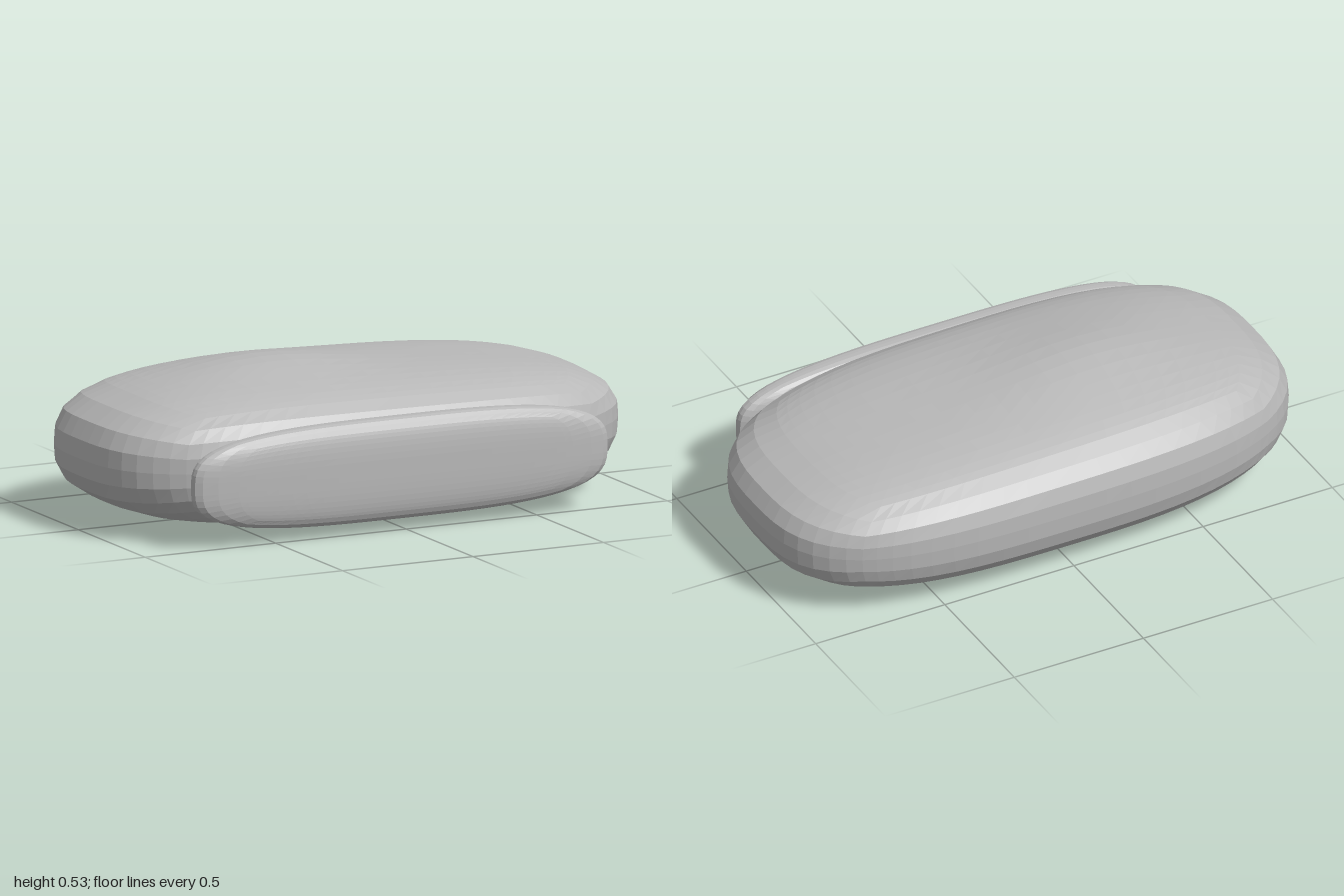
import * as THREE from 'three';

const grey = new THREE.MeshStandardMaterial({ color: 0xb8b8b8, flatShading: true });
grey.name = 'grey';

// Rounded block: a unit cube grid pulled onto a superellipsoid, then shaped by a rule
function softBlock(name, segments, power, shape) {
  const box = new THREE.BoxGeometry(2, 2, 2, ...segments);
  const pos = box.attributes.position;
  const v = new THREE.Vector3();
  for (let i = 0; i < pos.count; i++) {
    v.fromBufferAttribute(pos, i);
    const norm = (Math.abs(v.x) ** power + Math.abs(v.y) ** power + Math.abs(v.z) ** power) ** (1 / power);
    shape(v.divideScalar(norm));
    pos.setXYZ(i, v.x, v.y, v.z);
  }
  const geometry = box.toNonIndexed();
  geometry.computeVertexNormals();
  const mesh = new THREE.Mesh(geometry, grey);
  mesh.name = name;
  return mesh;
}

export function createModel() {
  const group = new THREE.Group();
  group.name = 'cushion';

  // Main body: flat pillow, higher on its right with a soft off-centre crown
  group.add(softBlock('body', [20, 8, 16], 3, (v) => {
    const x = v.x;
    const z = v.z * 0.525 - 0.025;
    const crown = 0.04 * Math.exp(-(((x + 0.27) / 0.35) ** 2) - ((z + 0.05) / 0.22) ** 2);
    const height = v.y > 0 ? 0.238 - 0.02 * x + crown : 0.25;
    v.set(x, 0.25 + v.y * height, z - 0.02 * x * Math.abs(x));
  }));

  // Slim padded panel across the front
  group.add(softBlock('frontPanel', [24, 16, 8], 3.2, (v) => {
    v.set(v.x * 0.793 - 0.018, 0.217 + v.y * 0.178, 0.4835 + v.z * 0.0625);
  }));

  return group;
}
